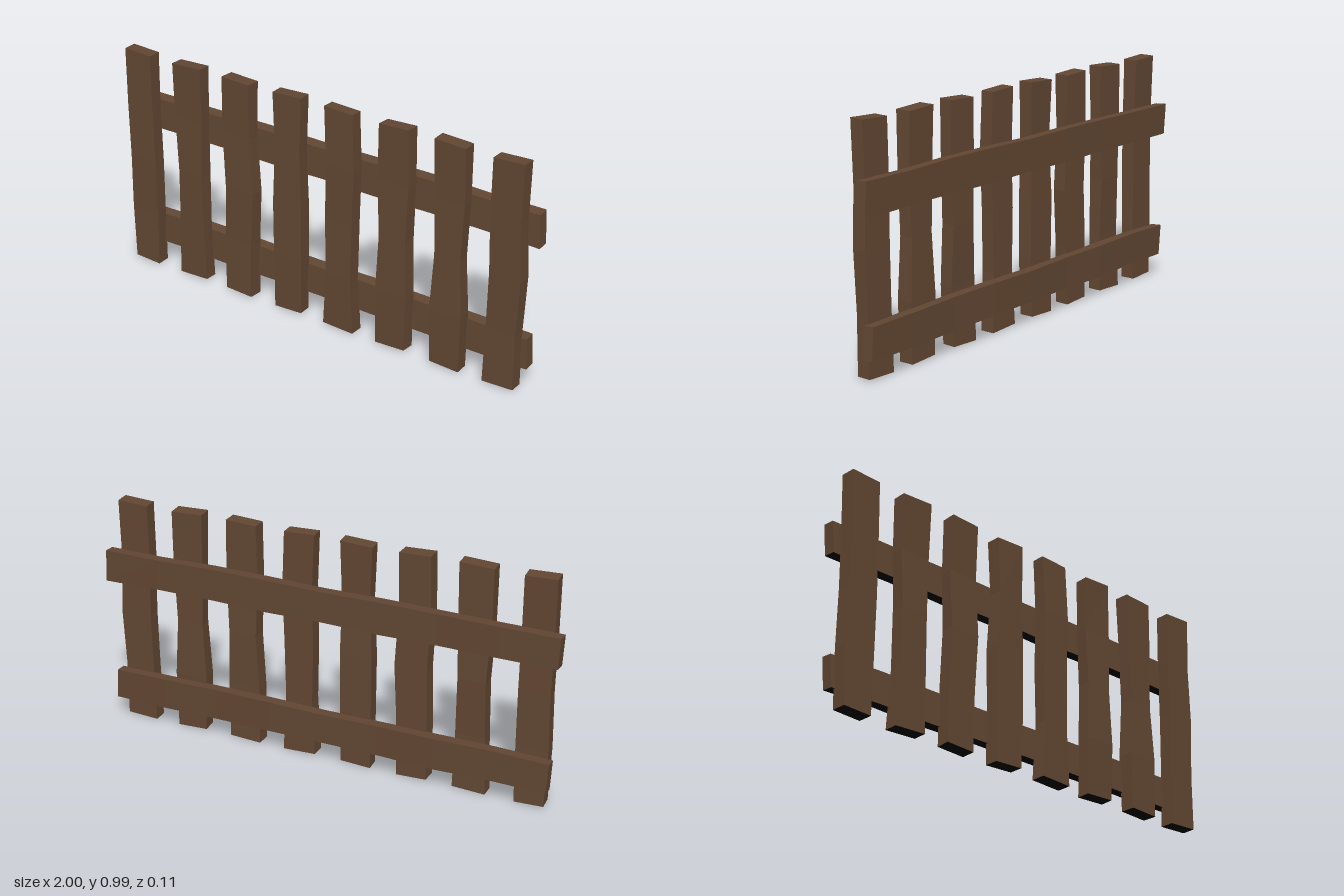
import * as THREE from 'three';

const wood = new THREE.MeshStandardMaterial({ color: 0x614632, flatShading: true });
wood.name = 'brownWood';
const underside = new THREE.MeshStandardMaterial({ color: 0x000000, flatShading: true });
underside.name = 'blackUnderside';

// Box sides in order: +x, -x, +y, -y, +z, -z
const boardMaterials = [wood, wood, wood, underside, wood, wood];

// Small seeded wobble in the range -1..1
function seeded(seed) {
  let s = seed;
  return () => {
    s = (s * 16807) % 2147483647;
    return (s / 2147483647) * 2 - 1;
  };
}

// Upright board: each section is [left, right] in x, spaced evenly from bottom to top
function makePicket(sections, index) {
  const rand = seeded(977 * (index + 3));
  const n = sections.length - 1;
  const depth = sections.map(() => [-0.005 + rand() * 0.004, 0.052 + rand() * 0.004]);
  const geo = new THREE.BoxGeometry(1, 1, 1, 1, n, 1);
  const p = geo.attributes.position;
  for (let i = 0; i < p.count; i++) {
    const row = Math.round((p.getY(i) + 0.5) * n);
    const right = p.getX(i) > 0, front = p.getZ(i) > 0;
    const endTilt = row === 0 || row === n ? (right ? -0.003 : 0.003) * (index % 2 ? -1 : 1) : 0;
    p.setXYZ(i,
      sections[row][right ? 1 : 0] + (front ? 0 : 0.003 * (index % 3 - 1)),
      0.009 + (row / n) * 0.981 + endTilt + (front ? 0.002 : 0),
      depth[row][front ? 1 : 0]);
  }
  geo.computeVertexNormals();
  return new THREE.Mesh(geo, boardMaterials);
}

// Horizontal rail with gently uneven edges and a slight lean
function makeRail(x0, x1, y0, y1, seed) {
  const n = 8, rand = seeded(seed);
  const wobble = Array.from({ length: n + 1 }, () => [rand() * 0.004, rand() * 0.004, rand() * 0.003]);
  const geo = new THREE.BoxGeometry(1, 1, 1, n, 1, 1);
  const p = geo.attributes.position;
  for (let i = 0; i < p.count; i++) {
    const t = p.getX(i) + 0.5, w = wobble[Math.round(t * n)];
    const top = p.getY(i) > 0, front = p.getZ(i) > 0;
    const slant = t === 0 ? (top ? 0 : 0.008) : t === 1 ? (top ? -0.008 : 0) : 0;
    p.setXYZ(i,
      x0 + (x1 - x0) * t + slant,
      (top ? y1 + w[0] : y0 + w[1]) + (front ? -0.002 : 0.001),
      (front ? 0 : -0.051 + w[2]) + (top ? -0.003 : 0));
  }
  geo.computeVertexNormals();
  return new THREE.Mesh(geo, boardMaterials);
}

export function createModel() {
  const fence = new THREE.Group();
  fence.name = 'picketFence';

  // Pickets: section edges from bottom to top
  const pickets = [
    [[-0.95, -0.825], [-0.958, -0.82], [-0.952, -0.82], [-0.956, -0.822], [-0.957, -0.825]],
    [[-0.705, -0.563], [-0.695, -0.568], [-0.69, -0.572], [-0.705, -0.565], [-0.705, -0.562]],
    [[-0.452, -0.322], [-0.45, -0.318], [-0.443, -0.304], [-0.455, -0.318], [-0.448, -0.315]],
    [[-0.198, -0.066], [-0.198, -0.06], [-0.2, -0.06], [-0.188, -0.066], [-0.198, -0.06]],
    [[0.05, 0.195], [0.064, 0.183], [0.058, 0.188], [0.064, 0.196], [0.053, 0.186]],
    [[0.304, 0.442], [0.305, 0.448], [0.316, 0.438], [0.304, 0.447], [0.309, 0.443]],
    [[0.567, 0.7], [0.56, 0.704], [0.573, 0.69], [0.566, 0.7], [0.56, 0.698]],
    [[0.807, 0.945], [0.813, 0.945], [0.818, 0.956], [0.812, 0.945], [0.816, 0.95]],
  ];
  pickets.forEach((sections, i) => {
    const mesh = makePicket(sections, i);
    mesh.name = `picket${i + 1}`;
    fence.add(mesh);
  });

  // Rails across the back
  const upper = makeRail(-1, 1, 0.642, 0.78, 4217);
  upper.name = 'upperRail';
  const lower = makeRail(-0.98, 0.975, 0.097, 0.232, 9133);
  lower.name = 'lowerRail';
  fence.add(upper, lower);

  return fence;
}
